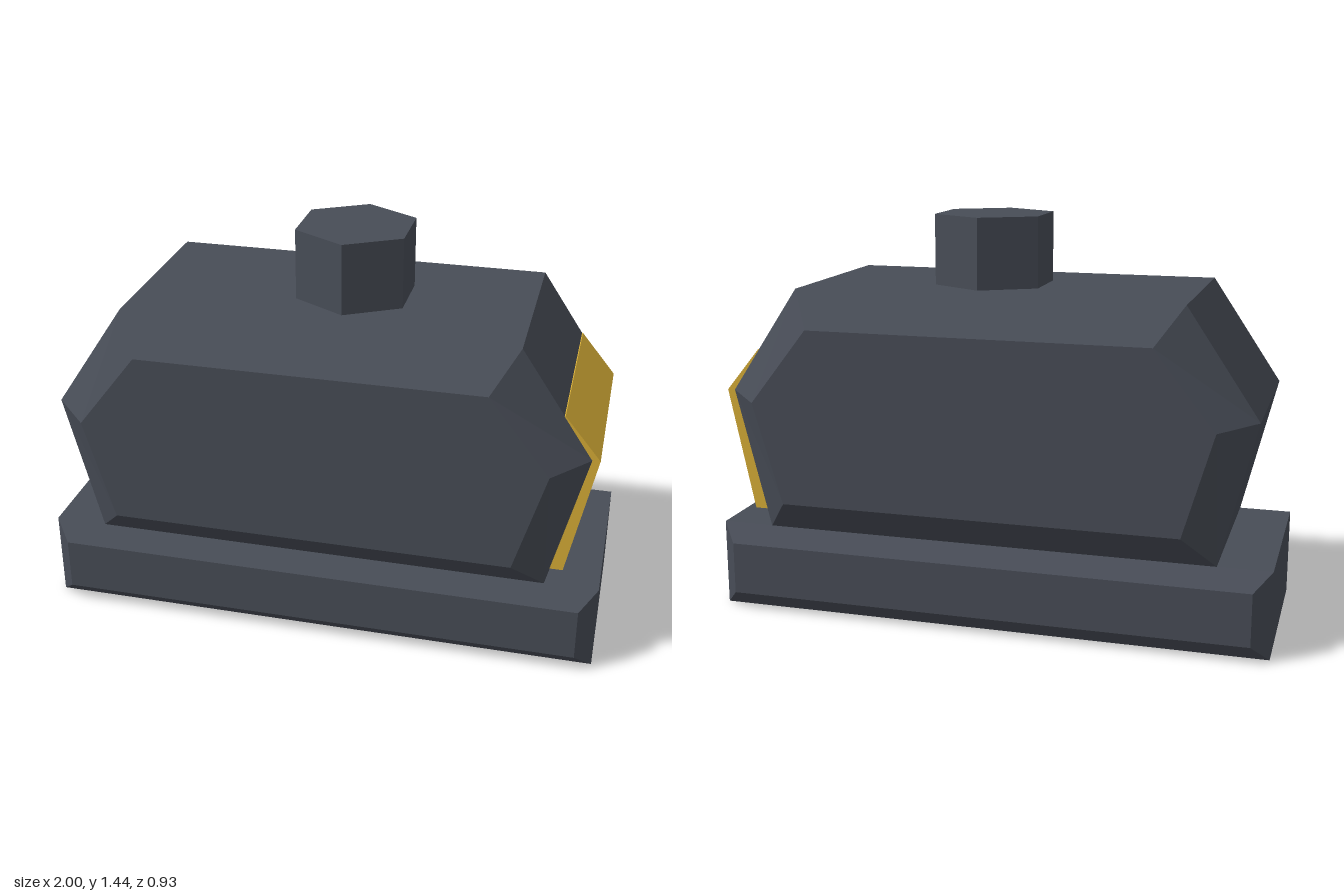
import * as THREE from 'three';

// Closed solid through matching outlines (counter-clockwise in xy), ordered from high z to low z
function loft(layers) {
  const pos = [];
  const rings = layers.map(([z, pts]) => pts.map(([x, y]) => [x, y, z]));
  const n = rings[0].length;
  const tri = (a, b, c) => pos.push(...a, ...b, ...c);
  for (let k = 0; k < rings.length - 1; k++) {
    const a = rings[k], b = rings[k + 1];
    for (let i = 0; i < n; i++) {
      const j = (i + 1) % n;
      tri(a[i], b[i], a[j]);
      tri(b[i], b[j], a[j]);
    }
  }
  const front = rings[0], back = rings[rings.length - 1];
  for (let i = 1; i < n - 1; i++) {
    tri(front[0], front[i], front[i + 1]);
    tri(back[0], back[i + 1], back[i]);
  }
  const geo = new THREE.BufferGeometry();
  geo.setAttribute('position', new THREE.Float32BufferAttribute(pos, 3));
  geo.computeVertexNormals();
  return geo;
}

// Solid with a full outline over the middle and a smaller outline on both z faces
function chamfered(outer, inner, zOuter, zInner) {
  return loft([[zInner, inner], [zOuter, outer], [-zOuter, outer], [-zInner, inner]]);
}

// Mirror the right half of an outline, listed bottom to top, across x = 0
function mirrored(half) {
  return [...half, ...half.map(([x, y]) => [-x, y]).reverse()];
}

export function createModel() {
  const model = new THREE.Group();
  model.name = 'machine';

  const slate = new THREE.MeshStandardMaterial({ color: 0x484d57, flatShading: true });
  slate.name = 'slate grey';
  const yellow = new THREE.MeshStandardMaterial({ color: 0xd9af37, flatShading: true });
  yellow.name = 'signal yellow';

  const add = (name, geometry, material) => {
    const mesh = new THREE.Mesh(geometry, material);
    mesh.name = name;
    model.add(mesh);
    return mesh;
  };

  // Long base block with chamfered front and back
  add('base', chamfered(
    mirrored([[1, 0], [1, 0.313]]),
    mirrored([[0.94, 0.063], [0.94, 0.252]]),
    0.343, 0.406), slate);

  // Six-sided housing
  add('body', chamfered(
    mirrored([[0.812, 0.313], [0.937, 0.815], [0.685, 1.19]]),
    mirrored([[0.705, 0.44], [0.81, 0.8], [0.6, 1.067]]),
    0.343, 0.467), slate);

  // Hexagonal stack on the roof
  add('stack', new THREE.CylinderGeometry(0.217, 0.217, 0.25, 6), slate).position.set(0.06, 1.315, 0);

  // Bent yellow panel wrapping the left end
  const panel = [[0.8, 0.377], [0.872, 0.377], [0.963, 0.815], [0.838, 0.967], [0.8, 0.967]];
  add('endPanel', loft([[0.344, panel], [-0.344, panel]]), yellow);

  return model;
}
